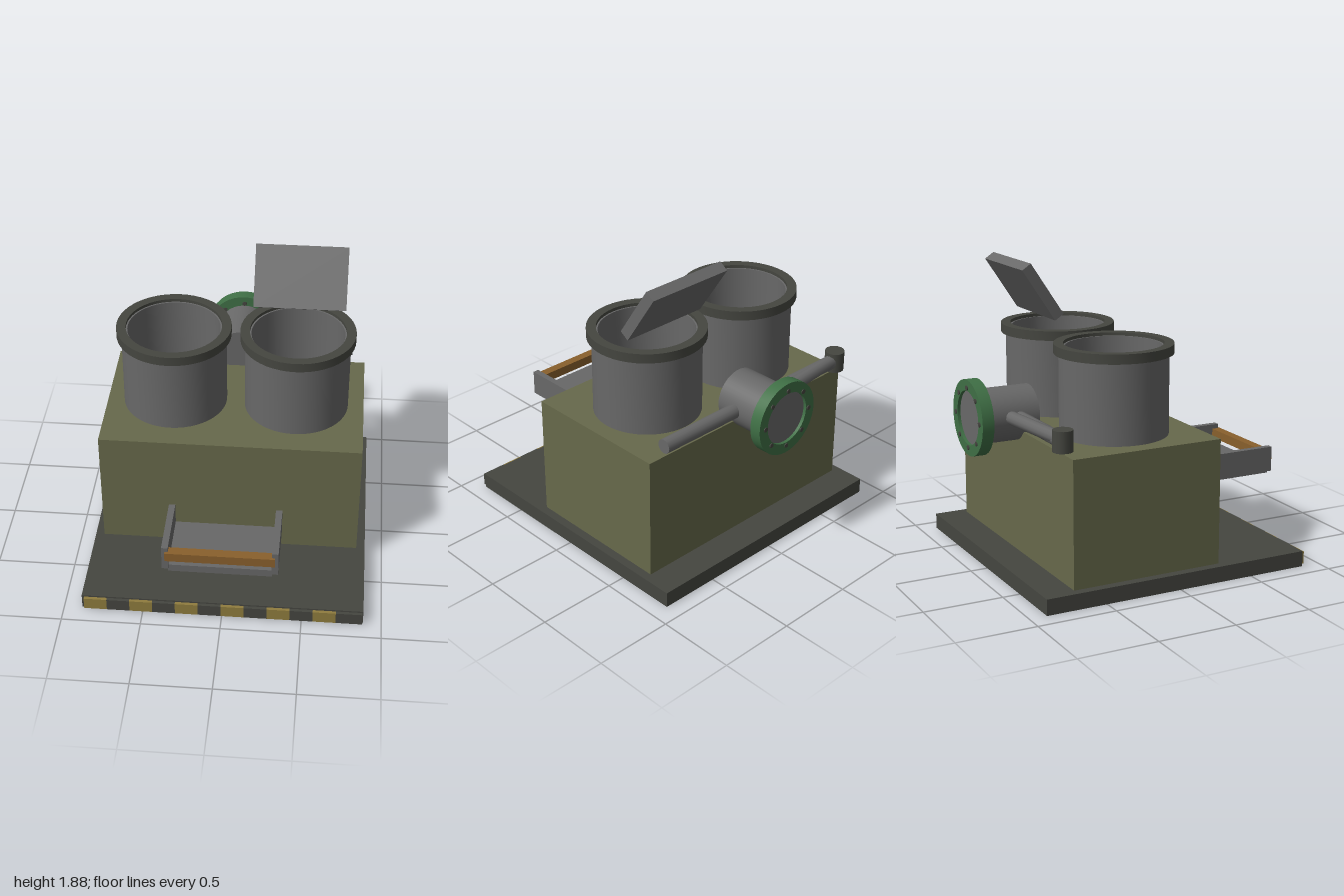
import * as THREE from 'three';
import { toCreasedNormals } from 'three/addons/utils/BufferGeometryUtils.js';

const mat = (name, color, side = THREE.FrontSide) => {
  const m = new THREE.MeshStandardMaterial({ color, side });
  m.name = name;
  return m;
};

export function createModel() {
  const model = new THREE.Group();
  model.name = 'twinTankMachine';
  const olive = mat('olive paint', 0x67694b);
  const dark = mat('dark metal', 0x454640);
  const steel = mat('grey steel', 0x686868);
  const yellow = mat('hazard yellow', 0x8f7c3e);
  const orange = mat('orange grip', 0x89602c);
  const green = mat('green flange', 0x3f6f45);
  const water = mat('blue liquid', 0x5f95b0);

  const add = (name, geo, material, x = 0, y = 0, z = 0, parent = model) => {
    const mesh = new THREE.Mesh(geo, material);
    mesh.name = name;
    mesh.position.set(x, y, z);
    parent.add(mesh);
    return mesh;
  };
  // box given by its min and max corners
  const box = (name, material, x0, x1, y0, y1, z0, z1, parent) =>
    add(name, new THREE.BoxGeometry(x1 - x0, y1 - y0, z1 - z0), material,
      (x0 + x1) / 2, (y0 + y1) / 2, (z0 + z1) / 2, parent);
  // closed turned part with crisp rims; profile is [radius, height] going up the outside
  const turned = (profile, segments = 48) => toCreasedNormals(
    new THREE.LatheGeometry(profile.map(p => new THREE.Vector2(...p)), segments), 0.6);
  // round bar between two points
  const rod = (name, a, b, r, material) => {
    const from = new THREE.Vector3(...a), to = new THREE.Vector3(...b);
    const dir = to.clone().sub(from);
    const mesh = add(name, new THREE.CylinderGeometry(r, r, dir.length(), 12), material);
    mesh.position.copy(from).add(to).multiplyScalar(0.5);
    mesh.quaternion.setFromUnitVectors(new THREE.Vector3(0, 1, 0), dir.normalize());
    return mesh;
  };

  // base slab, hazard strip and housing
  box('baseSlab', dark, -0.885, 0.885, 0, 0.1, -0.89, 0.88);
  const strip = new THREE.Group();
  strip.name = 'hazardStrip';
  model.add(strip);
  for (let i = 0; i < 12; i++) {
    const x = -0.87 + i * 0.144;
    box('hazardBlock', i % 2 ? dark : yellow, x, x + 0.144, 0.01, 0.09, 0.88, 0.9, strip);
  }
  box('hazardEnd', dark, 0.858, 0.88, 0.01, 0.09, 0.88, 0.9, strip);
  box('housing', olive, -0.83, 0.83, 0.1, 0.89, -0.69, 0.295);

  // two open tanks with rims and liquid
  for (const [name, x] of [['rightTank', -0.393], ['leftTank', 0.393]]) {
    const tank = new THREE.Group();
    tank.name = name;
    tank.position.set(x, 0.89, -0.2);
    model.add(tank);
    add('tankWall', turned([[0, 0], [0.335, 0], [0.335, 0.54], [0.295, 0.54], [0.295, 0.02], [0, 0.02]]),
      steel, 0, 0, 0, tank);
    add('tankRim', turned([[0.305, 0.5], [0.365, 0.5], [0.365, 0.56], [0.305, 0.56], [0.305, 0.5]]),
      dark, 0, 0, 0, tank);
    const surface = add('liquid', new THREE.CircleGeometry(0.296, 48), water, 0, 0.06, 0, tank);
    surface.rotation.x = -Math.PI / 2;
  }

  // tilted lid above the left tank
  const lid = add('lid', new THREE.BoxGeometry(0.585, 0.397, 0.07), steel, 0.393, 1.697, -0.435);
  lid.rotation.x = -0.588;

  // front tray with cheeks and grip
  const tray = new THREE.Group();
  tray.name = 'tray';
  model.add(tray);
  box('trayFloor', steel, -0.315, 0.315, 0.45, 0.5, 0.585, 0.98, tray);
  for (const s of [-1, 1]) {
    const x = s * 0.333;
    box('trayCheek', steel, x - 0.02, x + 0.02, 0.472, 0.635, 0.582, 0.985, tray);
  }
  box('trayGrip', orange, -0.333, 0.333, 0.545, 0.605, 0.94, 1.0, tray);

  // rear pipe with bolted flange, its axis pointing backwards
  const pipe = new THREE.Group();
  pipe.name = 'rearPipe';
  pipe.position.set(0, 0.985, -0.59);
  pipe.rotation.x = -Math.PI / 2;
  model.add(pipe);
  add('pipeBody', new THREE.CylinderGeometry(0.17, 0.17, 0.385, 40), steel, 0, 0.1925, 0, pipe);
  add('pipeFlange', turned([[0.168, 0.33], [0.237, 0.33], [0.237, 0.405], [0.168, 0.405], [0.168, 0.33]], 40),
    green, 0, 0, 0, pipe);
  for (let i = 0; i < 8; i++) {
    const a = i * Math.PI / 4;
    add('flangeBolt', new THREE.CylinderGeometry(0.016, 0.016, 0.087, 6), dark,
      0.187 * Math.cos(a), 0.3675, 0.187 * Math.sin(a), pipe);
  }

  // cross bar, slanted brace and end knob
  rod('crossBar', [-0.73, 0.985, -0.718], [0.745, 0.985, -0.718], 0.046, steel);
  rod('brace', [-0.73, 0.995, -0.72], [-0.1, 0.995, -0.78], 0.042, steel);
  add('knob', new THREE.CylinderGeometry(0.062, 0.062, 0.13, 16), dark, -0.75, 0.99, -0.716);

  return model;
}
